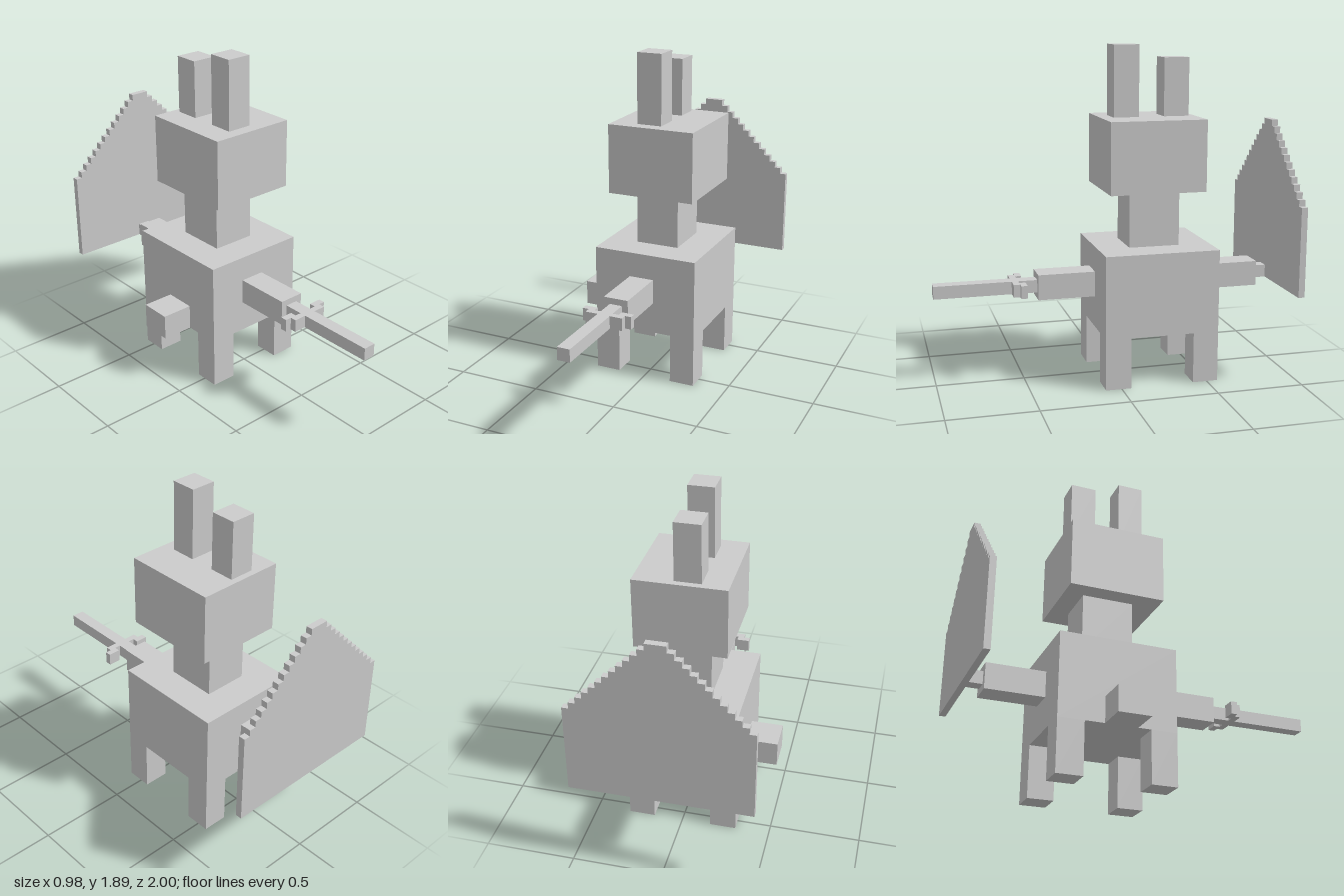
import * as THREE from 'three';

// The model lies on a block grid 27 wide and 55 deep; one block is U units.
const U = 2 / 55, CX = 13.5, CZ = 27.5;

export function createModel() {
  const model = new THREE.Group();
  model.name = 'blockKnight';
  const material = new THREE.MeshStandardMaterial({ color: 0xcccccc, flatShading: true });

  // Box from grid ranges [min, max] on each axis
  function block(name, [x0, x1], [y0, y1], [z0, z1], parent = model) {
    const mesh = new THREE.Mesh(new THREE.BoxGeometry((x1 - x0) * U, (y1 - y0) * U, (z1 - z0) * U), material);
    mesh.position.set(((x0 + x1) / 2 - CX) * U, ((y0 + y1) / 2) * U, ((z0 + z1) / 2 - CZ) * U);
    mesh.name = name;
    parent.add(mesh);
  }

  // Body, neck and head
  block('body', [5, 22], [8, 21], [12, 30]);
  block('neck', [10, 17], [21, 30], [17, 25]);
  block('head', [7, 21], [30, 41], [14, 29]);

  // Four legs
  for (const [side, x] of [['Right', 5], ['Left', 18]])
    for (const [end, z] of [['front', 26], ['back', 12]])
      block(end + side + 'Leg', [x, x + 4], [0, 8], [z, z + 4]);

  // Ears of unequal height
  block('frontEar', [11, 15], [41, 52], [23, 27]);
  block('backEar', [11, 15], [41, 50], [15, 19]);

  // Side stub and the two arms
  block('tail', [0, 5], [8, 12], [19, 24]);
  block('swordArm', [11, 15], [13, 17], [30, 39]);
  block('shieldArm', [11, 15], [13, 17], [3, 12]);

  // Sword with a stepped guard
  const sword = new THREE.Group();
  sword.name = 'sword';
  model.add(sword);
  block('blade', [12, 14], [14, 16], [39, 55], sword);
  block('rightGuard', [10, 12], [14, 16], [42, 43], sword);
  block('leftGuard', [14, 16], [14, 16], [42, 43], sword);
  block('rightGuardTip', [9, 11], [14, 16], [41, 42], sword);
  block('leftGuardTip', [15, 17], [14, 16], [41, 42], sword);

  // Shield plate: stairs rise one block per column to a flat peak
  block('shieldGrip', [12, 14], [14, 16], [1, 3]);
  const outline = [[0, 14], [27, 14]];
  for (let i = 26; i >= 0; i--) {
    const top = 28 + Math.min(i, 26 - i, 12);
    outline.push([i + 1, top], [i, top]);
  }
  // Drop the repeated corners along the flat peak
  const corners = outline.filter(([x, y], i) => !(i > 1 && y === 40 && x > 12 && x < 15));
  const shape = new THREE.Shape(corners.map(([x, y]) => new THREE.Vector2((x - CX) * U, y * U)));
  const shield = new THREE.Mesh(new THREE.ExtrudeGeometry(shape, { depth: U, bevelEnabled: false }), material);
  shield.position.z = -CZ * U;
  shield.name = 'shield';
  model.add(shield);

  return model;
}
